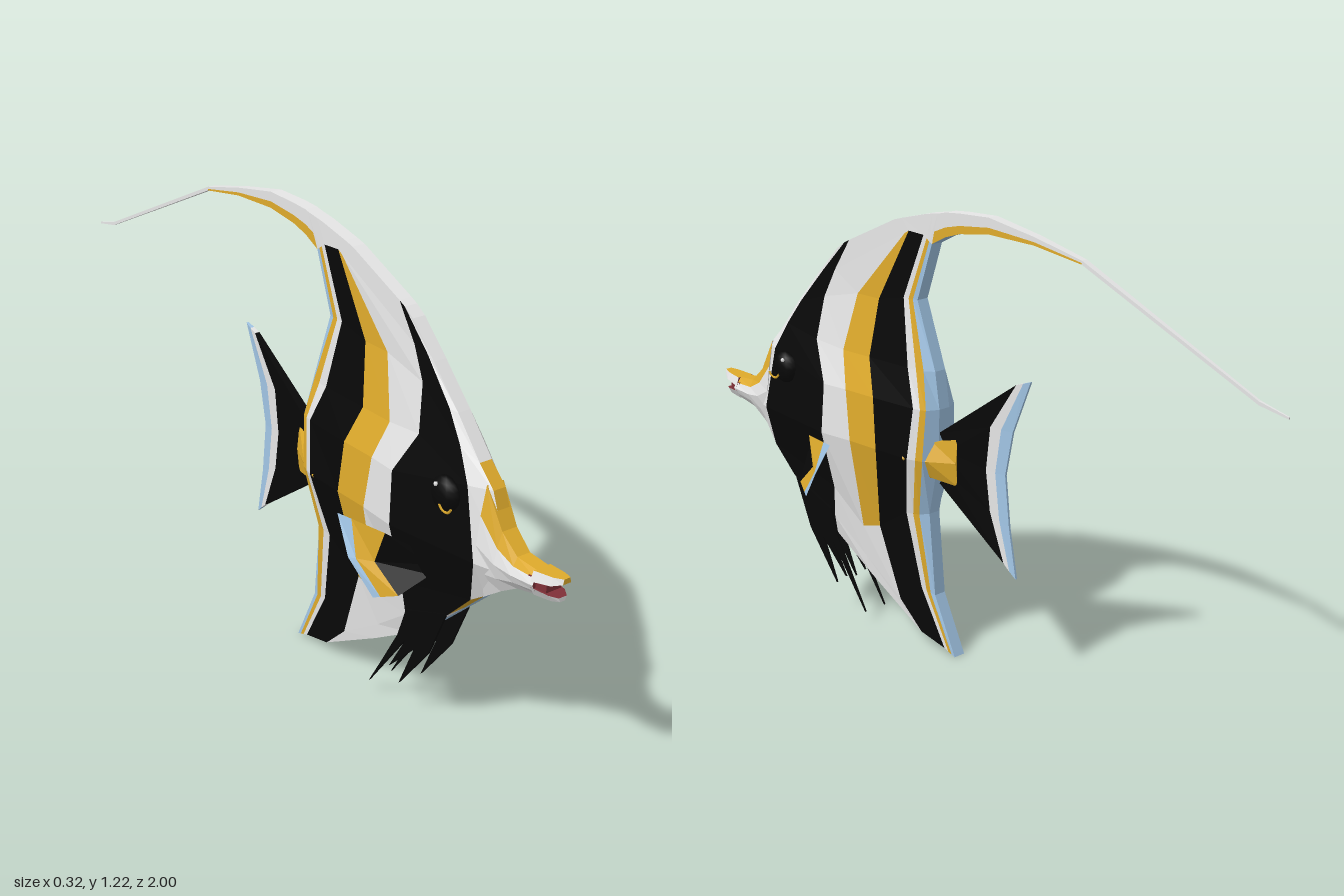
import * as THREE from 'three';

const paint = (name, color) => {
  const m = new THREE.MeshStandardMaterial({ color, side: THREE.DoubleSide });
  m.name = name;
  return m;
};
const COLOURS = ['white', 'black', 'yellow', 'blue', 'red'];
const [WHITE, BLACK, YELLOW, BLUE, RED] = [0, 1, 2, 3, 4];
const mats = [
  paint('white', 0xe6e6e6), paint('black', 0x080808), paint('yellow', 0xdfab2c),
  paint('blue', 0xa2c6e6), paint('red', 0x803038),
];

const lerp = THREE.MathUtils.lerp;
const mixColumns = (a, b, t) => a.map((p, j) => p.map((v, k) => lerp(v, b[j][k], t)));
// Piecewise linear value from [position, value] pairs
function ramp(pairs, x) {
  if (x <= pairs[0][0]) return pairs[0][1];
  for (let i = 1; i < pairs.length; i++) {
    const [x0, v0] = pairs[i - 1], [x1, v1] = pairs[i];
    if (x <= x1) return lerp(v0, v1, (x - x0) / (x1 - x0));
  }
  return pairs[pairs.length - 1][1];
}

// Collects flat-coloured quads and makes one mesh with a group per colour
function quadMesh(name, quads) {
  const pos = [], geo = new THREE.BufferGeometry(), used = [];
  COLOURS.forEach((_, colour) => {
    const start = pos.length / 3;
    for (const q of quads) {
      if (q.colour !== colour) continue;
      for (const k of [0, 1, 2, 0, 2, 3]) pos.push(...q.p[k]);
    }
    const count = pos.length / 3 - start;
    if (count) {
      geo.addGroup(start, count, used.length);
      used.push(mats[colour]);
    }
  });
  geo.setAttribute('position', new THREE.Float32BufferAttribute(pos, 3));
  geo.computeVertexNormals();
  const mesh = new THREE.Mesh(geo, used);
  mesh.name = name;
  return mesh;
}

// Symmetric solid: columns of [z, y] run front to back, rows run top to bottom
function solid(name, cols, width, colour, rim = (side, i, j) => colour(i, j)) {
  const quads = [], nc = cols.length - 1, nr = cols[0].length - 1;
  const at = (i, j, s = 1) => {
    const [z, y] = cols[i][j];
    return [s * width(i, j, z, y), y, z];
  };
  for (let i = 0; i < nc; i++) for (let j = 0; j < nr; j++) {
    const ring = [[i, j], [i, j + 1], [i + 1, j + 1], [i + 1, j]];
    quads.push({ colour: colour(i, j), p: ring.map(([a, b]) => at(a, b)) });
    quads.push({ colour: colour(i, j), p: ring.reverse().map(([a, b]) => at(a, b, -1)) });
  }
  const edge = (a, b, c) => quads.push({ colour: c, p: [at(...b), at(...a), at(...a, -1), at(...b, -1)] });
  for (let j = 0; j < nr; j++) {
    edge([0, j], [0, j + 1], rim('front', 0, j));
    edge([nc, j + 1], [nc, j], rim('back', nc - 1, j));
  }
  for (let i = 0; i < nc; i++) {
    edge([i, nr], [i + 1, nr], rim('bottom', i, nr - 1));
    edge([i + 1, 0], [i, 0], rim('top', i, 0));
  }
  return quadMesh(name, quads);
}

// Stripe borders on the body, from the forehead to the rear edge
const front = [
  [[.47, 1.06], [.55, .98], [.64, .885], [.72, .79], [.77, .74], [.84, .55], [.76, .465], [.69, .40], [.56, .28]],
  [[.44, 1.08], [.53, .99], [.62, .89], [.67, .82], [.715, .74], [.755, .56], [.735, .45], [.66, .375], [.54, .265]],
  [[.42, 1.09], [.48, 1.0], [.52, .92], [.535, .80], [.475, .69], [.48, .55], [.48, .38], [.49, .29], [.495, .235]],
  [[.24, 1.17], [.20, 1.14], [.385, .95], [.425, .79], [.39, .69], [.37, .55], [.37, .29], [.37, .20], [.355, .15]],
];
const rear = [
  [[.21, 1.178], [.185, 1.148], [.30, .95], [.32, .79], [.28, .69], [.265, .55], [.30, .31], [.23, .11], [.15, .035]],
  [[.12, 1.20], [.13, 1.145], [.205, .97], [.17, .79], [.13, .69], [.145, .55], [.185, .38], [.145, .17], [.06, .015]],
  [[.06, 1.21], [.10, 1.125], [.155, .97], [.09, .79], [.075, .69], [.08, .55], [.115, .39], [.095, .16], [.02, 0]],
];
const RIDGE = .018;
const bulgeByHeight = [[.2, .004], [.4, .026], [.5, .05], [.57, .077], [.66, .07], [.78, .032], [.85, .012], [1, .001]];
const bulgeByLength = [[.02, .25], [.15, .8], [.4, .82], [.55, 1], [.65, .9], [.76, .5], [.85, .3]];

function body() {
  const [a, b, c] = rear;
  const cols = [...front, a, b, mixColumns(b, c, .38), mixColumns(b, c, .7), c];
  const stripes = [WHITE, BLACK, WHITE, YELLOW, BLACK, WHITE, YELLOW, BLUE];
  const last = cols.length - 1;
  return solid('body', cols,
    (i, j, z, y) => (i === 0 || i === last || j === 0 || j === 8)
      ? RIDGE : RIDGE + ramp(bulgeByHeight, y) * ramp(bulgeByLength, z),
    (i, j) => {
      if (i > 1 && j === 0) return WHITE;            // pale crest
      if (i === 3 && j > 5) return WHITE;            // yellow stripe stops above the belly
      if (i === 0 && j === 6) return YELLOW;         // chin line
      return stripes[i];
    },
    (side, i, j) => {
      if (side === 'front') return j > 4 ? BLUE : j > 2 ? YELLOW : WHITE;
      return side === 'back' ? BLUE : WHITE;
    });
}

// Solid from [z, top, bottom, halfWidth] stations, with the given row shape
function loft(name, stations, rows, shape, colour, rim) {
  const cols = stations.map(([z, top, bottom]) => rows.map(t => [z, lerp(top, bottom, t)]));
  return solid(name, cols, (i, j) => stations[i][3] * shape[j], colour, rim);
}

function head() {
  const g = new THREE.Group();
  g.name = 'head';
  g.add(loft('snout', [[.93, .607, .545, .036], [.86, .612, .53, .038], [.81, .655, .5, .044], [.755, .75, .46, .05]],
    [0, .25, .5, .75, 1], [.5, .8, 1, .8, .4],
    (i, j) => (j === 0 ? YELLOW : WHITE),
    (side) => ({ top: YELLOW, bottom: BLUE, front: RED, back: WHITE })[side]));
  const two = [0, 1];
  g.add(loft('upperLip', [[1, .615, .602, .012], [.975, .612, .592, .025], [.92, .607, .582, .034]], two, [.75, 1],
    () => WHITE, side => (side === 'top' || side === 'front' ? YELLOW : RED)));
  g.add(loft('lowerLip', [[.99, .564, .553, .012], [.97, .566, .549, .025], [.92, .568, .544, .034]], two, [1, .6],
    () => WHITE, side => (side === 'top' ? RED : side === 'bottom' ? BLUE : WHITE)));
  g.add(loft('mouth', [[.96, .594, .564, .022], [.91, .594, .564, .03]], two, [1, 1], () => RED));
  return g;
}

function tail() {
  const g = new THREE.Group();
  g.name = 'tail';
  g.add(loft('tailBase', [[.16, .6, .5, .075], [.09, .6, .5, .05], [.015, .62, .49, .018]],
    [0, .5, 1], [.6, 1, .6], () => YELLOW));
  const root = [[.08, .625], [.05, .58], [.03, .555], [.05, .52], [.08, .485]];
  const dark = [[-.19, .81], [-.10, .68], [-.085, .56], [-.10, .45], [-.15, .32]];
  const rim = [[-.235, .825], [-.175, .68], [-.15, .56], [-.165, .42], [-.19, .285]];
  const thick = [.014, .007, .006, .003];
  g.add(solid('tailFin', [root, dark, mixColumns(dark, rim, .5), rim],
    i => thick[i], i => [BLACK, WHITE, BLUE][i]));
  return g;
}

// Long trailing tip of the back fin
function streamer() {
  const stations = [[.1, 1.2, 1.125, .018], [.05, 1.213, 1.15, .018], [0, 1.217, 1.165, .018], [-.1, 1.22, 1.178, .016],
    [-.25, 1.193, 1.172, .013], [-.4, 1.158, 1.148, .009], [-.92, .923, .914, .004], [-1, .903, .898, .002]];
  return loft('streamer', stations, [0, .6, 1], [1, 1, 1],
    (i, j) => (j === 1 && i < 5 ? YELLOW : WHITE),
    (side, i) => (side !== 'bottom' ? WHITE : i < 3 ? BLUE : i < 5 ? YELLOW : WHITE));
}

// Side fin: open sheet of [x, y, z] columns from root to edge
function sideFin(s) {
  const root = [[.04, .50, .585], [.04, .475, .585], [.04, .45, .59]];
  const dark = [[.11, .545, .50], [.12, .46, .475], [.105, .395, .55]];
  const edge = [[.15, .555, .365], [.158, .46, .42], [.135, .373, .49]];
  const cols = [root, dark, mixColumns(dark, edge, .7), edge];
  const quads = [];
  for (let i = 0; i < 3; i++) for (let j = 0; j < 2; j++) {
    const p = [cols[i][j], cols[i][j + 1], cols[i + 1][j + 1], cols[i + 1][j]].map(([x, y, z]) => [s * x, y, z]);
    quads.push({ colour: [BLACK, YELLOW, BLUE][i], p: s > 0 ? p : p.reverse() });
  }
  return quadMesh(s > 0 ? 'leftSideFin' : 'rightSideFin', quads);
}

// Ragged belly fin, a thin pointed plate
function bellyFin(s) {
  const outline = [[.65, .37], [.59, .23], [.48, .09], [.535, .215], [.44, .12], [.505, .23], [.36, .035],
    [.41, .12], [.47, .225], [.5, .31]];
  const shape = new THREE.Shape(outline.map(([z, y]) => new THREE.Vector2(-z, y)));
  const geo = new THREE.ExtrudeGeometry(shape, { depth: .006, bevelEnabled: false });
  geo.rotateY(Math.PI / 2);
  const mesh = new THREE.Mesh(geo, mats[BLACK]);
  mesh.position.x = s * .036 - .003;
  mesh.name = s > 0 ? 'leftBellyFin' : 'rightBellyFin';
  return mesh;
}

function eye(s) {
  const g = new THREE.Group();
  g.name = s > 0 ? 'leftEye' : 'rightEye';
  const add = (name, geo, mat, x, y, z) => {
    const m = new THREE.Mesh(geo, mat);
    m.name = name;
    m.position.set(x, y, z);
    g.add(m);
    return m;
  };
  add('eyeball', new THREE.SphereGeometry(.045, 10, 8), mats[BLACK], 0, 0, 0).scale.x = .55;
  const arc = add('eyeRing', new THREE.TorusGeometry(.022, .0035, 4, 8, 2.4), mats[YELLOW], s * .022, -.01, .025);
  arc.rotation.set(0, Math.PI / 2, 0);
  arc.rotateZ(Math.PI + .35);
  add('glint', new THREE.SphereGeometry(.006, 6, 4), mats[WHITE], s * .02, .025, -.012);
  g.position.set(s * .06, .70, .655);
  return g;
}

export function createModel() {
  const model = new THREE.Group();
  model.name = 'fish';
  model.add(body(), head(), tail(), streamer());
  for (const s of [1, -1]) model.add(sideFin(s), bellyFin(s), eye(s));
  return model;
}
